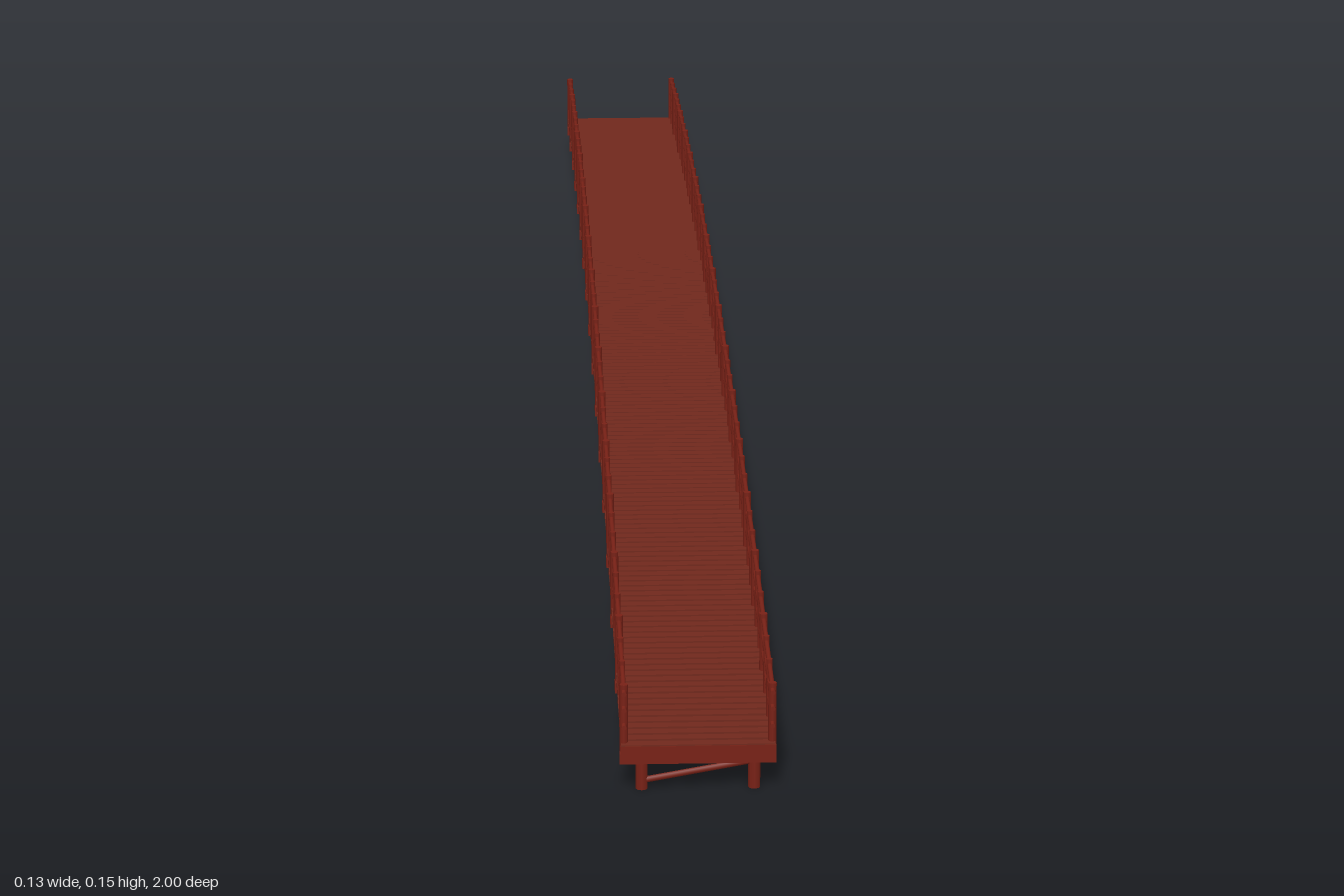
import * as THREE from 'three';
import { mergeGeometries } from 'three/addons/utils/BufferGeometryUtils.js';

// Height of the walking surface along the bridge
const deckY = (z) => 0.098 - 0.058 * z * z;

// Bends a straight geometry lying along z to follow the arch
function arch(geo, offset) {
  const p = geo.attributes.position;
  for (let i = 0; i < p.count; i++) p.setY(i, p.getY(i) + deckY(p.getZ(i)) + offset);
  geo.computeVertexNormals();
  return geo;
}

const box = (w, h, d, x, y, z) => new THREE.BoxGeometry(w, h, d).translate(x, y, z);

// Round log between two points
function log(a, b, r) {
  const dir = b.clone().sub(a);
  const q = new THREE.Quaternion().setFromUnitVectors(new THREE.Vector3(0, 1, 0), dir.clone().normalize());
  const mid = a.clone().add(b).multiplyScalar(0.5);
  return new THREE.CylinderGeometry(r, r, dir.length(), 8).applyQuaternion(q).translate(mid.x, mid.y, mid.z);
}

export function createModel() {
  const deckWood = new THREE.MeshStandardMaterial({ color: 0x70281c });
  deckWood.name = 'red brown deck wood';
  const frameWood = new THREE.MeshStandardMaterial({ color: 0x782116 });
  frameWood.name = 'red frame wood';

  const bridge = new THREE.Group();
  bridge.name = 'archedFootbridge';
  const add = (name, geos, material) => {
    const mesh = new THREE.Mesh(mergeGeometries(geos), material);
    mesh.name = name;
    bridge.add(mesh);
  };

  // Level deck planks with narrow gaps
  const plankCount = 195, pitch = 2 / plankCount;
  const planks = [];
  for (let i = 0; i < plankCount; i++) {
    const z = -1 + (i + 0.5) * pitch;
    planks.push(box(0.126, 0.004, pitch - 0.001, 0, deckY(z) - 0.002, z));
  }
  add('deckPlanks', planks, deckWood);

  // Arched stringers under the planks
  add('stringers', [-0.056, 0, 0.056].map((x) =>
    arch(new THREE.BoxGeometry(x ? 0.011 : 0.006, 0.006, 1.994, 1, 1, 64).translate(x, 0, 0), -0.007)), frameWood);

  // Boards closing both ends of the deck
  add('endBoards', [-1, 1].map((s) => box(0.127, 0.008, 0.003, 0, 0.0355, s * 0.9985)), frameWood);

  // Trestles: two round piles, a cross beam and one diagonal brace
  const piles = [], beams = [], braces = [];
  for (let i = -8; i <= 8; i++) {
    const z = i * 0.124, top = deckY(z) - 0.009;
    beams.push(box(0.128, 0.009, 0.01, 0, top - 0.0045, z));
    for (const x of [-0.046, 0.046]) {
      piles.push(log(new THREE.Vector3(x, 0, z), new THREE.Vector3(x, top - 0.005, z), 0.005));
    }
    braces.push(log(new THREE.Vector3(-0.046, 0.007, z), new THREE.Vector3(0.048, top - 0.008, z), 0.0028));
  }
  add('piles', piles, frameWood);
  add('crossBeams', beams, frameWood);
  add('diagonalBraces', braces, frameWood);

  // Railings: a stout post at each trestle, two slimmer ones between, three curved rails
  const posts = [], rails = [];
  for (const x of [-0.0605, 0.0605]) {
    for (let i = -24; i <= 24; i++) {
      const z = i * 0.124 / 3, y = deckY(z);
      const radius = i % 3 === 0 ? 0.0034 : 0.0026;
      posts.push(log(new THREE.Vector3(x, y - 0.008, z), new THREE.Vector3(x, y + 0.05, z), radius));
    }
    for (const h of [0.016, 0.031, 0.045]) {
      const rail = new THREE.CylinderGeometry(0.002, 0.002, 2, 8, 64);
      rails.push(arch(rail.rotateX(Math.PI / 2).translate(x, 0, 0), h));
    }
  }
  add('railingPosts', posts, frameWood);
  add('railingRails', rails, frameWood);

  return bridge;
}
